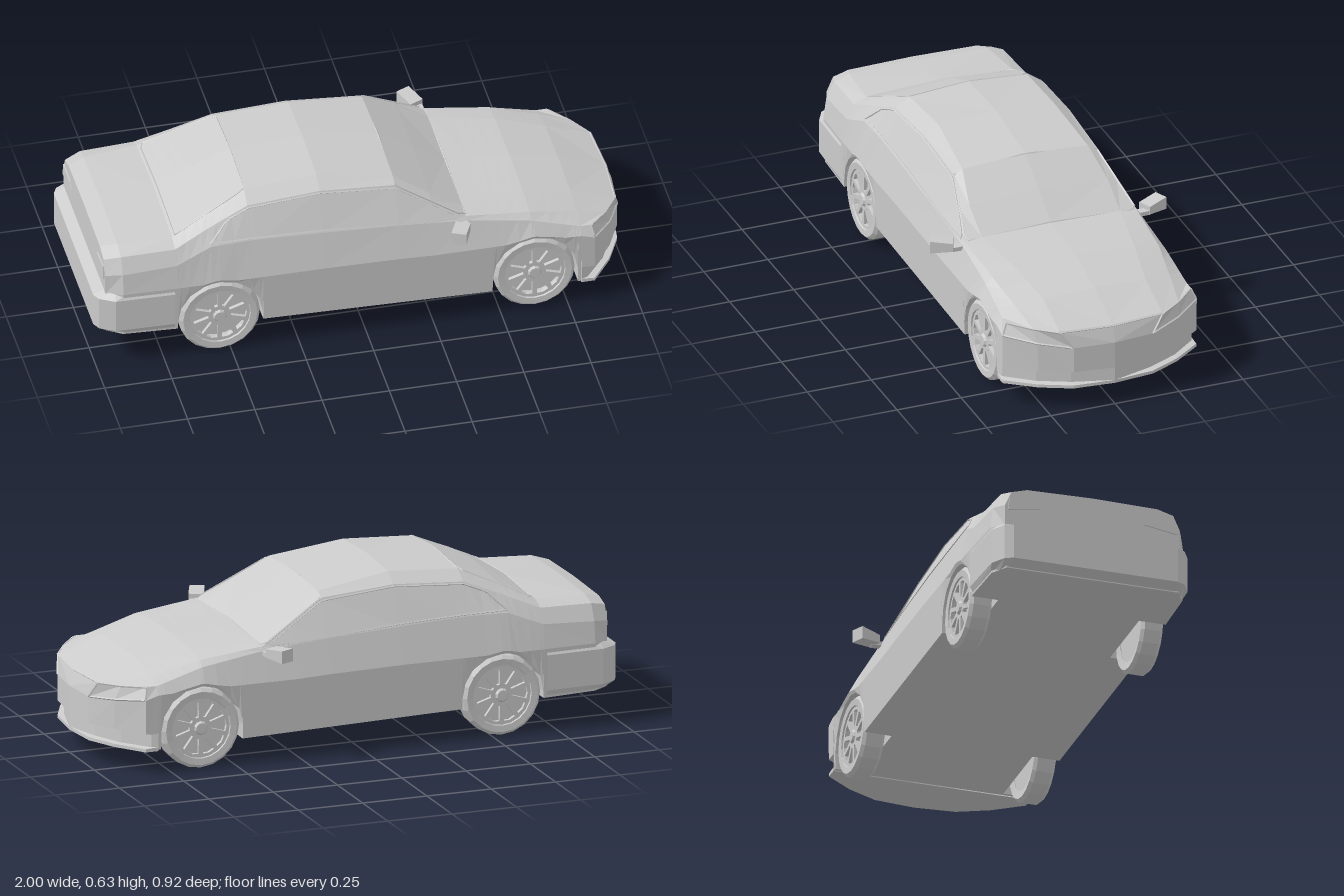
import * as THREE from 'three';

const grey = new THREE.MeshStandardMaterial({ color: 0xcccccc, flatShading: true, side: THREE.DoubleSide });
const lerp = THREE.MathUtils.lerp;
const AXLES = [-0.54, 0.63], ARCH_R = 0.158, AXLE_Y = 0.151;

function add(parent, name, geometry) {
  const mesh = new THREE.Mesh(geometry, grey);
  mesh.name = name;
  parent.add(mesh);
  return mesh;
}

// Skin over rows of [x, y, z] points on the +z half, mirrored to the other half
function mirroredSkin(rows) {
  const pos = [];
  const tri = (a, b, c) => {
    pos.push(...a, ...b, ...c);
    for (const p of [a, c, b]) pos.push(p[0], p[1], -p[2]);
  };
  for (let i = 0; i < rows.length - 1; i++) {
    for (let j = 0; j < rows[i].length - 1; j++) {
      const a = rows[i][j], b = rows[i][j + 1], c = rows[i + 1][j + 1], d = rows[i + 1][j];
      tri(a, d, c);
      tri(a, c, b);
    }
  }
  const g = new THREE.BufferGeometry();
  g.setAttribute('position', new THREE.Float32BufferAttribute(pos, 3));
  g.computeVertexNormals();
  return g;
}

// Key sections: x, then z,y of waist, belt, window top and roof edge, then y of the centre line
const KEYS = [
  [-0.96, 0.335, 0.30, 0.335, 0.38, 0.31, 0.435, 0.25, 0.452, 0.457],
  [-0.90, 0.372, 0.31, 0.36, 0.39, 0.33, 0.45, 0.27, 0.468, 0.475],
  [-0.70, 0.378, 0.31, 0.362, 0.40, 0.335, 0.455, 0.285, 0.475, 0.49],
  [-0.57, 0.38, 0.31, 0.347, 0.453, 0.308, 0.51, 0.255, 0.54, 0.56],
  [-0.42, 0.38, 0.31, 0.343, 0.455, 0.285, 0.57, 0.23, 0.605, 0.622],
  [-0.15, 0.38, 0.31, 0.345, 0.445, 0.28, 0.587, 0.225, 0.622, 0.635],
  [0.13, 0.38, 0.305, 0.345, 0.43, 0.278, 0.565, 0.245, 0.582, 0.597],
  [0.26, 0.38, 0.30, 0.345, 0.42, 0.307, 0.49, 0.27, 0.502, 0.517],
  [0.38, 0.38, 0.30, 0.345, 0.41, 0.335, 0.424, 0.27, 0.431, 0.438],
  [0.62, 0.38, 0.30, 0.352, 0.375, 0.325, 0.395, 0.23, 0.411, 0.42],
  [0.80, 0.38, 0.295, 0.36, 0.325, 0.30, 0.35, 0.20, 0.37, 0.378],
];

function keyAt(x) {
  let i = 0;
  while (i < KEYS.length - 2 && x > KEYS[i + 1][0]) i++;
  const a = KEYS[i], b = KEYS[i + 1], t = (x - a[0]) / (b[0] - a[0]);
  return a.map((v, k) => lerp(v, b[k], t));
}

function section(x) {
  const [, z4, y4, z5, y5, z6, y6, z7, y7, y8] = keyAt(x);
  const floor = 0.108 - 0.024 * x;
  let arch = floor;
  for (const c of AXLES) {
    const d = Math.abs(x - c);
    if (d < ARCH_R + 0.0001) arch = AXLE_Y + Math.sqrt(Math.max(0, ARCH_R ** 2 - d * d));
  }
  return [[x, floor, 0], [x, floor, 0.27], [x, arch, 0.27], [x, arch, z4 - 0.006],
    [x, Math.max(y4, arch + 0.012), z4], [x, y5, z5], [x, y6, z6], [x, y7, z7], [x, y8, 0]];
}

function bodyGeometry() {
  const xs = KEYS.map(k => k[0]);
  for (const c of AXLES) {
    xs.push(c - ARCH_R - 0.0005, c + ARCH_R + 0.0005);
    for (let k = 0; k <= 8; k++) xs.push(c + ARCH_R * Math.cos(k * Math.PI / 8));
  }
  xs.sort((a, b) => a - b);
  const rows = xs.map(section);
  rows.unshift(rows[0].map(() => [-0.96, 0.29, 0])); // closes the tail
  return mirroredSkin(rows);
}

// Bumper, lights and hood tip, as rows from the floor up to the hood
function noseGeometry() {
  const plan = (y, inset = 0) => [[1, y, 0], [0.985 - inset, y, 0.155], [0.93 - inset, y, 0.27],
    [0.85 - inset, y, 0.378 - inset / 3], [0.8, y, 0.378]];
  return mirroredSkin([
    [0, 0.155, 0.27, 0.37, 0.378].map(z => [0.8, 0.085, z]),
    plan(0.085), plan(0.097), plan(0.1, 0.025), plan(0.148, 0.025), plan(0.152),
    [[1, 0.25, 0], [0.985, 0.25, 0.155], [0.93, 0.265, 0.275], [0.85, 0.28, 0.38], [0.8, 0.295, 0.38]],
    [[0.978, 0.31, 0], [0.966, 0.313, 0.2], [0.91, 0.318, 0.285], [0.84, 0.325, 0.36], [0.8, 0.325, 0.36]],
    [[0.8, 0.378, 0], [0.8, 0.37, 0.2], [0.8, 0.35, 0.3], [0.8, 0.325, 0.36], [0.8, 0.325, 0.36]],
  ]);
}

function rearBumperGeometry() {
  const plan = (y, s) => [[-1 + s, y, 0], [-1 + s, y, 0.315], [-0.985 + s, y, 0.345],
    [-0.93 + s, y, 0.376 - s / 4], [-0.71, y, 0.382 - s / 4]];
  return mirroredSkin([plan(0.315, 0.06), plan(0.287, 0), plan(0.155, 0), plan(0.13, 0.05),
    [0, 0.31, 0.34, 0.36, 0.37].map(z => [-0.71, 0.126, z])]);
}

// Thin square-section strip along straight segments
function trim(points, closed = true, r = 0.004) {
  const path = new THREE.CurvePath();
  const v = points.map(p => new THREE.Vector3(...p));
  const n = closed ? v.length : v.length - 1;
  for (let i = 0; i < n; i++) path.add(new THREE.LineCurve3(v[i], v[(i + 1) % v.length]));
  return new THREE.TubeGeometry(path, n * 8, r, 4, closed);
}

// Point on the side glass, t running from belt to window top
function glassPoint(x, t, side) {
  const s = section(x);
  return [x, lerp(s[5][1], s[6][1], t), side * lerp(s[5][2], s[6][2], t)];
}

function makeWheel(side) {
  const wheel = new THREE.Group();
  const profile = [[0.108, -0.036], [0.138, -0.042], [0.15, -0.03], [0.15, 0.03], [0.138, 0.042],
    [0.114, 0.04], [0.108, 0.02]].map(p => new THREE.Vector2(...p));
  add(wheel, 'tyre', new THREE.LatheGeometry(profile, 20).rotateX(Math.PI / 2));

  // Rim face pierced by ten wedge openings
  const face = new THREE.Shape().absarc(0, 0, 0.113, 0, Math.PI * 2);
  for (let k = 0; k < 10; k++) {
    const a = k * Math.PI / 5;
    const corners = [[0.042, -0.13], [0.098, -0.23], [0.101, 0], [0.098, 0.23], [0.042, 0.13]];
    face.holes.push(new THREE.Path(corners.map(([r, da]) =>
      new THREE.Vector2(r * Math.cos(a + da), r * Math.sin(a + da)))));
  }
  add(wheel, 'rim', new THREE.ExtrudeGeometry(face, { depth: 0.014, bevelEnabled: false, curveSegments: 10 })
    .translate(0, 0, 0.02));
  add(wheel, 'hub', new THREE.CylinderGeometry(0.02, 0.03, 0.012, 10).rotateX(Math.PI / 2).translate(0, 0, 0.036));
  add(wheel, 'brakeDisc', new THREE.CylinderGeometry(0.11, 0.11, 0.03, 20).rotateX(Math.PI / 2).translate(0, 0, -0.018));
  if (side < 0) wheel.rotation.y = Math.PI;
  return wheel;
}

function makeMirror(side) {
  const mirror = new THREE.Group();
  const shell = new THREE.BoxGeometry(0.055, 0.048, 0.085);
  const p = shell.attributes.position;
  // Taper the inner end
  for (let i = 0; i < p.count; i++) if (p.getZ(i) < 0) p.setY(i, p.getY(i) * 0.65);
  shell.rotateY(-0.42).translate(0.345, 0.412, 0.412);
  const arm = new THREE.BoxGeometry(0.03, 0.016, 0.05).translate(0.37, 0.402, 0.36);
  add(mirror, 'mirrorShell', shell);
  add(mirror, 'mirrorArm', arm);
  if (side < 0) mirror.scale.z = -1;
  return mirror;
}

export function createModel() {
  const car = new THREE.Group();
  car.name = 'car';
  add(car, 'body', bodyGeometry());
  add(car, 'nose', noseGeometry());
  add(car, 'rearBumper', rearBumperGeometry());

  for (const s of [1, -1]) {
    const label = s > 0 ? 'near' : 'far';
    AXLES.forEach((x, i) => {
      const wheel = makeWheel(s);
      wheel.name = label + (i ? 'FrontWheel' : 'RearWheel');
      wheel.position.set(x, 0.15, s * 0.328);
      car.add(wheel);
    });
    const mirror = makeMirror(s);
    mirror.name = label + 'WingMirror';
    car.add(mirror);

    // Side window surround
    const outline = [[-0.57, 0.15], [-0.5, 0.9], [-0.42, 0.93], [-0.15, 0.95], [0.13, 0.93], [0.26, 0.9],
      [0.36, 0.5], [0.26, 0.06], [-0.15, 0.06], [-0.42, 0.06]];
    add(car, label + 'WindowFrame', trim(outline.map(([x, t]) => glassPoint(x, t, s))));

    // Headlamp surround and tail lamp
    add(car, label + 'HeadlampFrame', trim([[0.985, 0.25, s * 0.155], [0.966, 0.311, s * 0.2],
      [0.91, 0.316, s * 0.285], [0.84, 0.323, s * 0.36], [0.85, 0.28, s * 0.378], [0.93, 0.265, s * 0.275]]));
    const lamp = new THREE.Shape([[0.2, 0.38], [0.325, 0.36], [0.318, 0.41], [0.22, 0.405]]
      .map(([z, y]) => new THREE.Vector2(z, y)));
    const lampMesh = add(car, label + 'TailLamp', new THREE.ExtrudeGeometry(lamp, { depth: 0.012, bevelEnabled: false })
      .rotateY(-Math.PI / 2).translate(-0.953, 0, 0));
    lampMesh.scale.z = s;
  }

  // Windscreen, rear window and grille surrounds
  const across = (x, k) => { const s = section(x); return [s[k], s[8], [x, s[k][1], -s[k][2]]]; };
  const screen = (a, b, k) => [...across(a, k), ...across(b, k).reverse()];
  add(car, 'windscreenFrame', trim(screen(0.13, 0.38, 6)));
  add(car, 'rearWindowFrame', trim(screen(-0.69, -0.42, 7), true, 0.003));
  add(car, 'grilleBar', trim([[0.966, 0.313, 0.2], [0.978, 0.308, 0], [0.966, 0.313, -0.2]], false, 0.005));
  return car;
}
